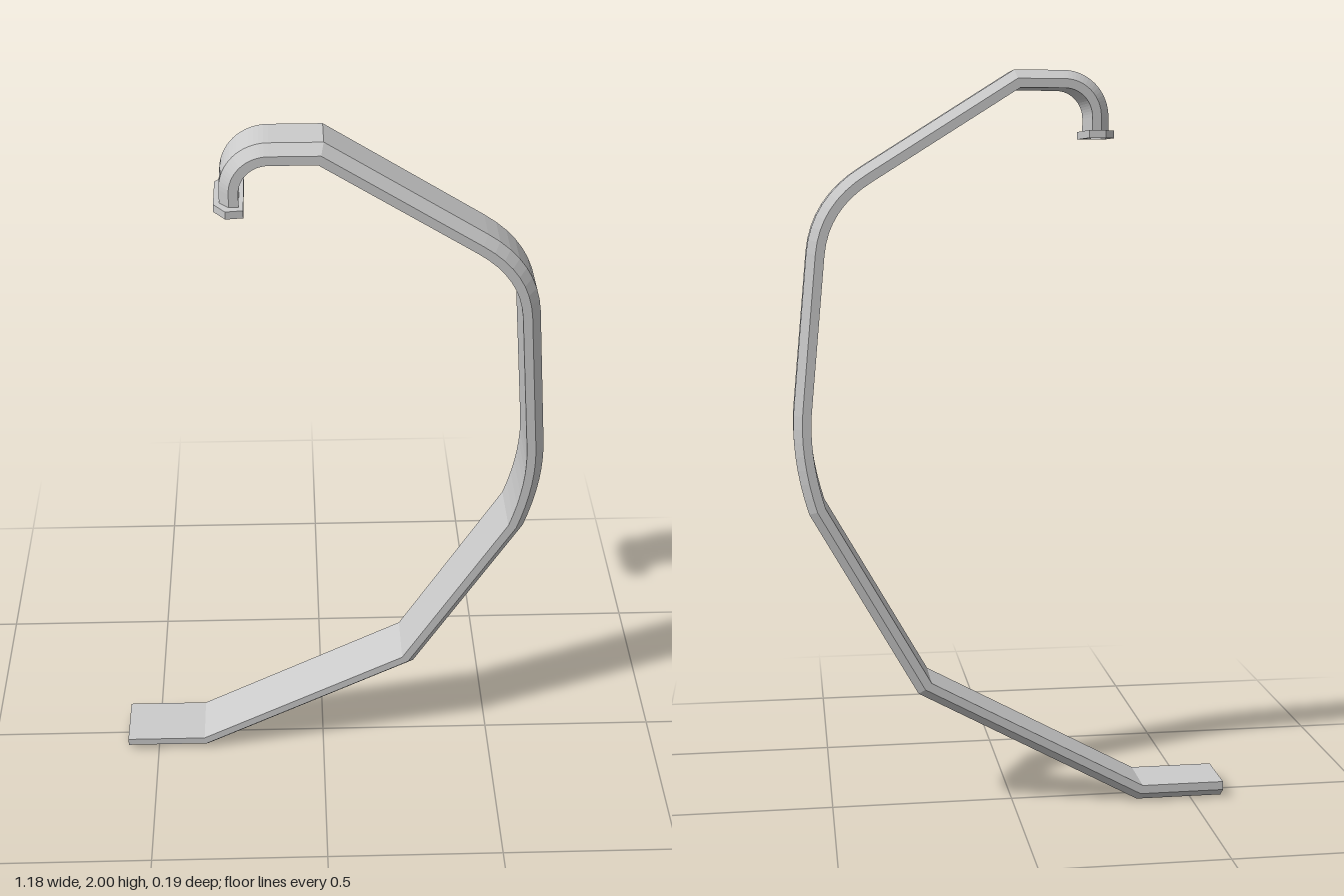
import * as THREE from 'three';

const material = new THREE.MeshStandardMaterial({
  color: 0xcccccc, flatShading: true, side: THREE.DoubleSide,
});

const T = 0.047; // band thickness

// Section: [depth in from the outer face, z]; the outer edges are chamfered
const section = [
  [0, -0.05], [0, 0.05], [T / 2, 0.075], [T, 0.075], [T, -0.075], [T / 2, -0.075],
];

// Outer line of the band, from the foot up to the hooked end
function bandPath() {
  const p = new THREE.Path();
  p.moveTo(-0.59, 0);
  p.lineTo(-0.348, 0);
  p.lineTo(0.263, 0.332);
  p.lineTo(0.55, 0.838);
  p.quadraticCurveTo(0.6, 1.0, 0.583, 1.14);
  p.lineTo(0.545, 1.53);
  p.quadraticCurveTo(0.53, 1.669, 0.4, 1.75);
  p.lineTo(0, 2);
  p.lineTo(-0.13, 2);
  p.absarc(-0.13, 1.88, 0.12, Math.PI / 2, Math.PI, false);
  p.lineTo(-0.25, 1.83);
  return p.getPoints(8).filter((q, i, a) => !i || q.distanceTo(a[i - 1]) > 1e-4);
}

// Hollow, open-ended sweep with mitred corners
function sweep(points) {
  const n = section.length;
  const positions = [];
  const index = [];
  points.forEach((p, i) => {
    const a = p.clone().sub(points[Math.max(i - 1, 0)]).normalize();
    const b = points[Math.min(i + 1, points.length - 1)].clone().sub(p).normalize();
    const dir = a.clone().add(b).normalize();
    const mitre = 1 / Math.max(a.lengthSq() ? a.dot(dir) : 1, 0.5);
    for (const [d, z] of section) {
      positions.push(p.x - dir.y * d * mitre, p.y + dir.x * d * mitre, z);
    }
    if (i === 0) return;
    for (let k = 0; k < n; k++) {
      const k2 = (k + 1) % n;
      const r0 = (i - 1) * n, r1 = i * n;
      index.push(r0 + k, r1 + k, r1 + k2, r0 + k, r1 + k2, r0 + k2);
    }
  });
  const geo = new THREE.BufferGeometry();
  geo.setAttribute('position', new THREE.Float32BufferAttribute(positions, 3));
  geo.setIndex(index);
  const flat = geo.toNonIndexed();
  flat.computeVertexNormals();
  return flat;
}

// Thin collar around the mouth of the hooked end
function collar() {
  const v = (x, z) => new THREE.Vector2(x, z);
  const shape = new THREE.Shape([
    v(-0.264, -0.058), v(-0.235, -0.096), v(-0.192, -0.091),
    v(-0.192, 0.091), v(-0.235, 0.096), v(-0.264, 0.058),
  ]);
  shape.holes.push(new THREE.Path(section.map(([d, z]) => v(-0.25 + d, z))));
  const geo = new THREE.ExtrudeGeometry(shape, { depth: 0.02, bevelEnabled: false });
  geo.rotateX(Math.PI / 2);
  geo.translate(0, 1.845, 0);
  return geo;
}

export function createModel() {
  const group = new THREE.Group();
  group.name = 'bentChannel';
  const add = (name, geometry) => {
    const mesh = new THREE.Mesh(geometry, material);
    mesh.name = name;
    group.add(mesh);
  };
  add('band', sweep(bandPath()));
  add('endCollar', collar());
  return group;
}
